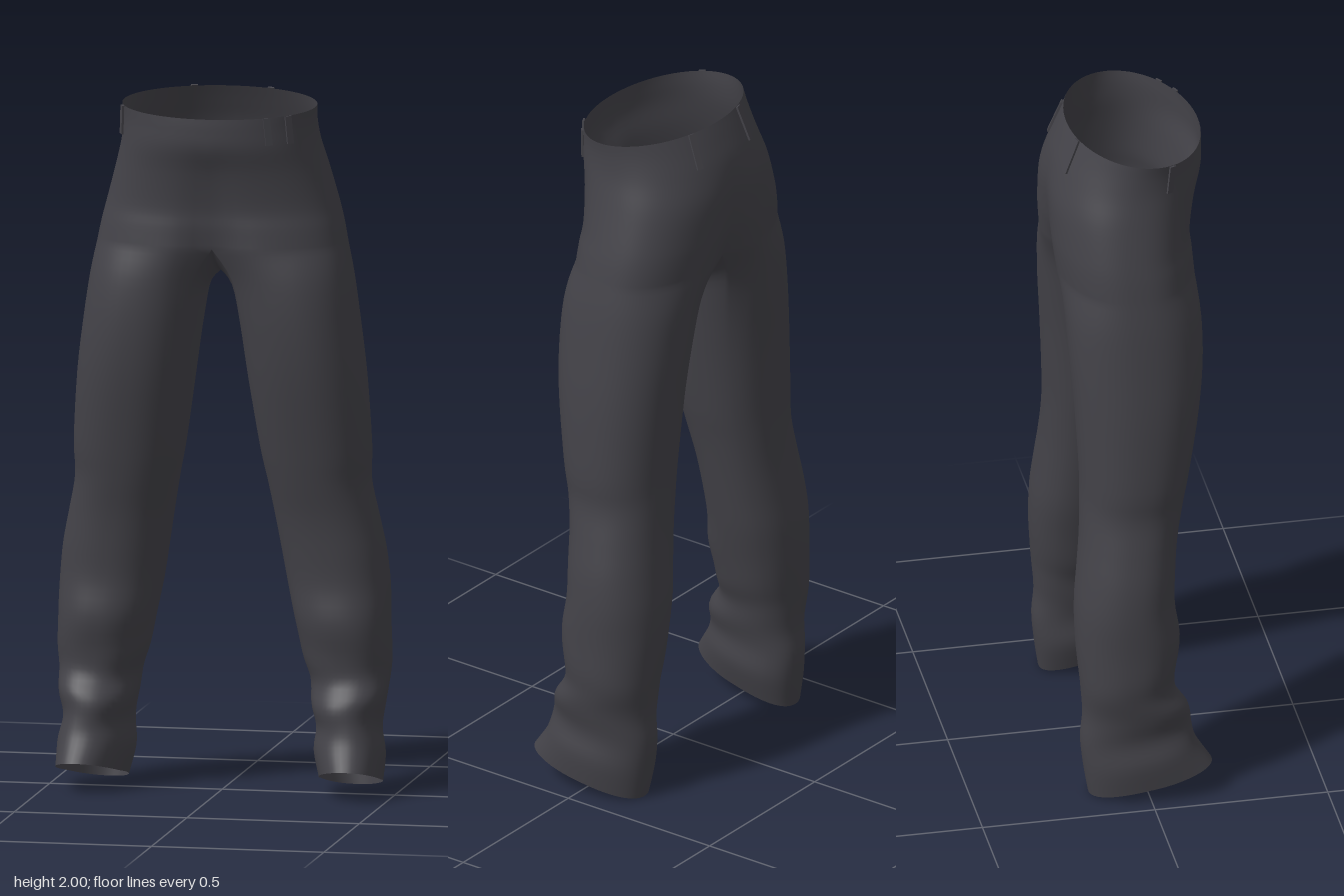
import * as THREE from 'three';
import { mergeVertices } from 'three/addons/utils/BufferGeometryUtils.js';

const OUT = 36, INN = 14, ARC = 0.9, STEPS = 4;

// Leg rows, hem to crotch: y, inner x, outer x, front z, back z, tilt, crotch blend
const LEG = [
  [0.045, 0.285, 0.465, 0.185, -0.165, 0.045, 0],
  [0.12, 0.265, 0.468, 0.145, -0.178, 0.035, 0],
  [0.19, 0.268, 0.457, 0.125, -0.185, 0.02, 0],
  [0.26, 0.258, 0.465, 0.125, -0.18, 0.01, 0],
  [0.33, 0.245, 0.477, 0.08, -0.183, 0, 0],
  [0.4, 0.225, 0.48, 0.085, -0.19, 0, 0],
  [0.5, 0.203, 0.478, 0.098, -0.196, 0, 0],
  [0.6, 0.182, 0.475, 0.086, -0.195, 0, 0],
  [0.7, 0.165, 0.465, 0.09, -0.185, 0, 0],
  [0.8, 0.148, 0.445, 0.1, -0.175, 0, 0],
  [0.9, 0.13, 0.426, 0.12, -0.17, 0, 0],
  [1.0, 0.11, 0.428, 0.14, -0.17, 0, 0],
  [1.2, 0.08, 0.415, 0.175, -0.18, 0, 0],
  [1.35, 0.06, 0.395, 0.193, -0.195, 0, 0.15],
  [1.45, 0.042, 0.376, 0.198, -0.208, 0, 0.5],
  [1.5, 0, 0.358, 0.192, -0.215, 0, 1],
];

// Hip rows, crotch to waist: y, outer x, front z, back z, tilt, centre dip, roundness
const HIP = [
  [1.58, 0.358, 0.192, -0.215, 0, 0.2, 0.8],
  [1.64, 0.346, 0.187, -0.22, 0, 0.12, 0.8],
  [1.7, 0.331, 0.183, -0.223, 0, 0.07, 0.82],
  [1.8, 0.304, 0.2, -0.222, 0, 0.03, 0.86],
  [1.88, 0.284, 0.222, -0.203, -0.005, 0, 0.92],
  [1.94, 0.278, 0.226, -0.178, -0.012, 0, 0.97],
  [1.982, 0.28, 0.225, -0.157, -0.018, 0, 1],
];

// Smooth interpolation between table rows
function refine(rows) {
  const out = [];
  for (let k = 0; k < rows.length - 1; k++) {
    const p = rows[Math.max(k - 1, 0)], a = rows[k], b = rows[k + 1], q = rows[Math.min(k + 2, rows.length - 1)];
    for (let s = 0; s < STEPS; s++) {
      const t = s / STEPS;
      out.push(a.map((v, c) => v + 0.5 * t * (b[c] - p[c] + t * (2 * p[c] - 5 * v + 4 * b[c] - q[c]
        + t * (3 * (v - b[c]) + q[c] - p[c])))));
    }
  }
  out.push(rows[rows.length - 1]);
  return out;
}

const power = (v, e) => Math.sign(v) * Math.abs(v) ** e;

// Outer half section of the hips; b runs from the front centre (0) round the side to the back (PI)
function halfPoint(xi, xo, zf, zb, dip, e, b) {
  const zc = (zf + zb) / 2, rz = (zf - zb) / 2;
  const sx = power(Math.max(Math.sin(b), 0), e);
  const hollow = 1 - dip * Math.exp(-((sx * 5) ** 2));
  return [xi + (xo - xi) * sx, zc + rz * power(Math.cos(b), e) * hollow];
}

function hipPoint([y, xo, zf, zb, tilt, dip, e], b) {
  const [x, z] = halfPoint(0, xo, zf, zb, dip, e, b);
  return new THREE.Vector3(x, y + tilt * Math.cos(b), z);
}

// Closed leg section that blends into the hip section and the crotch seam
function legPoint([y, xi, xo, zf, zb, tilt, w], i) {
  const outer = i <= OUT;
  const u = outer ? Math.PI * i / OUT : Math.PI * (1 + (i - OUT) / INN);
  const a = outer ? -ARC + (Math.PI + 2 * ARC) * i / OUT
    : Math.PI + ARC + (Math.PI - 2 * ARC) * (i - OUT) / INN;
  const zc = (zf + zb) / 2, rz = (zf - zb) / 2;
  // Soft folds near the ankle
  const fade = Math.exp(-(((y - 0.27) / 0.13) ** 2));
  const fold = 1 + 0.035 * fade * Math.sin(2 * a + 42 * y) * (0.6 + 0.4 * Math.cos(a));
  const ex = (xi + xo) / 2 + (xo - xi) / 2 * power(Math.sin(a), 0.9) * fold
    + 0.1 * Math.cos(a) * rz * Math.max(0, 1 - y / 1.2);
  const ez = zc + rz * power(Math.cos(a), 0.9) * fold;
  const [dx, dz] = outer ? halfPoint(xi, xo, zf, zb, 0.2, 0.8, u)
    : [xi, zc + rz * 0.8 * Math.cos(u)];
  const lift = 0.08 * w * (outer ? 1 : Math.cos(u) ** 2);
  return new THREE.Vector3(ex + (dx - ex) * w, y + tilt * Math.cos(a) + lift, ez + (dz - ez) * w);
}

function trouserGeometry() {
  const pos = [], idx = [];
  const legRows = refine(LEG), hipRows = refine(HIP), ring = OUT + INN;
  for (const side of [1, -1]) {
    const base = pos.length / 3;
    const add = (p) => pos.push(side * p.x, p.y, p.z);
    const quad = (a, b, c, d) => {
      if (side > 0) idx.push(a, b, c, a, c, d);
      else idx.push(a, c, b, a, d, c);
    };
    legRows.forEach((r) => { for (let i = 0; i < ring; i++) add(legPoint(r, i)); });
    for (let j = 0; j < legRows.length - 1; j++) {
      for (let i = 0; i < ring; i++) {
        const a = base + j * ring, n = (i + 1) % ring;
        quad(a + i, a + n, a + ring + n, a + ring + i);
      }
    }
    // Hips grow from the outer part of the last leg ring
    let below = base + (legRows.length - 1) * ring;
    for (const r of hipRows.slice(1)) {
      const here = pos.length / 3;
      for (let i = 0; i <= OUT; i++) add(hipPoint(r, Math.PI * i / OUT));
      for (let i = 0; i < OUT; i++) quad(below + i, below + i + 1, here + i + 1, here + i);
      below = here;
    }
  }
  const g = new THREE.BufferGeometry();
  g.setAttribute('position', new THREE.Float32BufferAttribute(pos, 3));
  g.setIndex(idx);
  // Weld the centre seam so both halves shade as one cloth
  const welded = mergeVertices(g, 1e-4);
  welded.computeVertexNormals();
  return welded;
}

// Thin belt loop lying on the waist at section angle b
function beltLoop(b, side, material) {
  const top = hipPoint(HIP[6], b), low = hipPoint(HIP[4], b).lerp(top, 0.15);
  const along = hipPoint(HIP[6], b + 0.05).sub(hipPoint(HIP[6], b - 0.05)).normalize();
  const up = top.clone().sub(low);
  const height = up.length();
  up.normalize();
  const normal = along.clone().cross(up).normalize();
  const center = top.add(low).multiplyScalar(0.5).addScaledVector(normal, 0.005);
  const g = new THREE.BoxGeometry(0.02, height, 0.006);
  g.applyMatrix4(new THREE.Matrix4().makeBasis(along, up, normal).setPosition(center));
  const mesh = new THREE.Mesh(g, material);
  mesh.name = 'beltLoop';
  if (side < 0) mesh.scale.x = -1;
  return mesh;
}

export function createModel() {
  const cloth = new THREE.MeshStandardMaterial({ color: 0x434248, side: THREE.DoubleSide });
  cloth.name = 'charcoal cloth';
  const group = new THREE.Group();
  group.name = 'trousers';

  const legs = new THREE.Mesh(trouserGeometry(), cloth);
  legs.name = 'trouserLegsAndHips';
  group.add(legs);

  // Front loops, then back loops
  for (const [b, side] of [[0.63, 1], [0.9, 1], [1.24, -1], [2.74, 1], [2.74, -1]]) {
    group.add(beltLoop(b, side, cloth));
  }
  return group;
}
